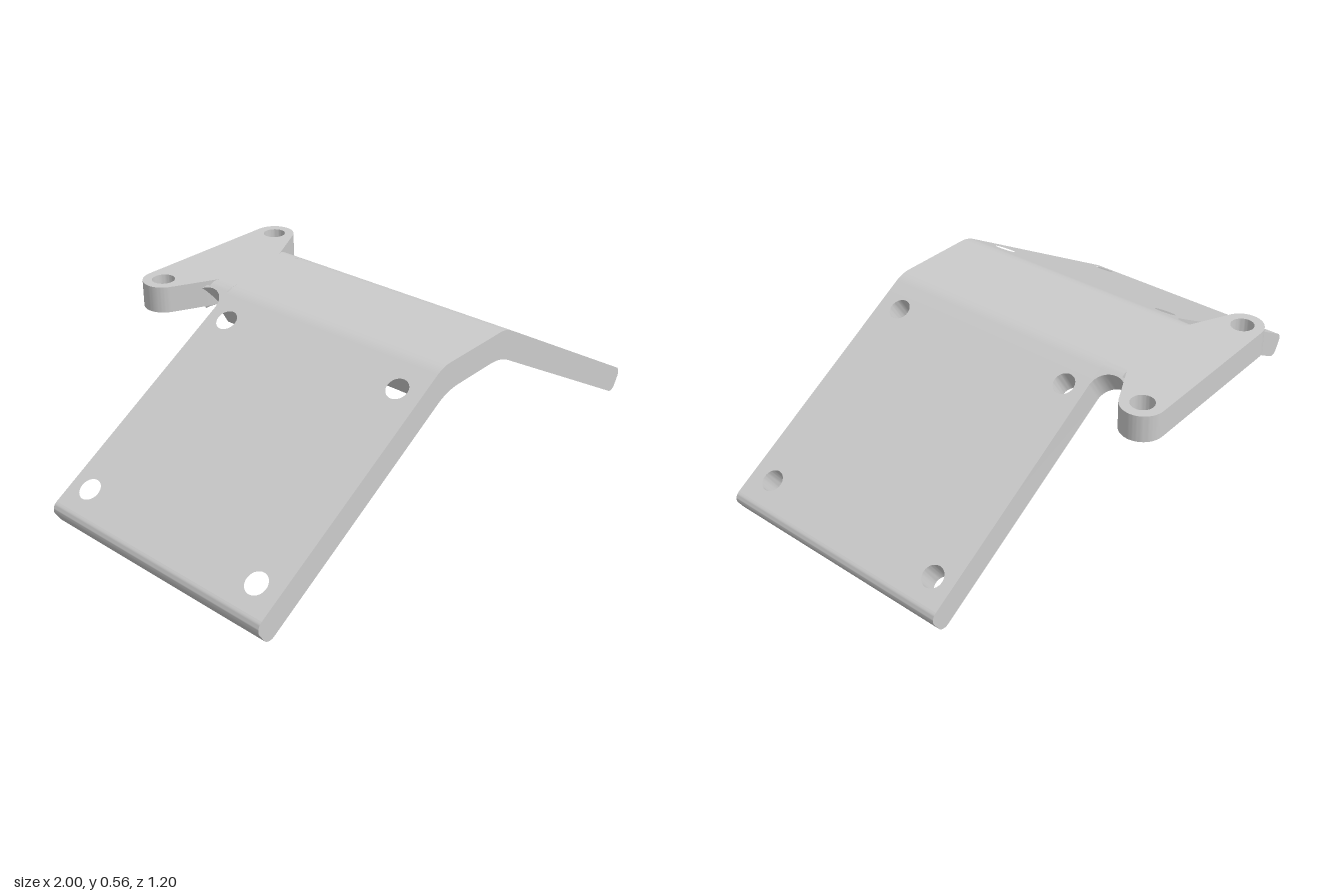
import * as THREE from 'three';
import { toCreasedNormals } from 'three/addons/utils/BufferGeometryUtils.js';

const T = 0.095;              // plate thickness
const TOP = 0.56;             // height of the flat top
const BEND_X = 0.171;         // where the wings fold down
const TILT = Math.PI / 6;     // wing slope
const LEN = 0.971;            // wing length along the slope
const R = 0.03;               // rounding of the wing tips
const BACK = -0.3, FRONT = 0.6;
const INNER = 0.028;          // end of the bend at the neck
const OUTER = 0.085;          // end of the bend along the wings

const material = new THREE.MeshStandardMaterial({ color: 0xcccccc });

// points on an arc, angles in degrees
function arc(cx, cy, r, from, to, n = 24) {
  return Array.from({ length: n + 1 }, (_, i) => {
    const a = THREE.MathUtils.degToRad(from + (to - from) * i / n);
    return [cx + r * Math.cos(a), cy + r * Math.sin(a)];
  });
}

// extrude an outline (optionally mirrored in x) with round holes
function extrude(points, depth, holes = [], side = 1) {
  const vec = list => list.map(([x, y]) => new THREE.Vector2(side * x, y));
  const shape = new THREE.Shape(vec(points));
  for (const [x, y, r] of holes) shape.holes.push(new THREE.Path(vec(arc(x, y, r, 0, 352.5, 47))));
  return new THREE.ExtrudeGeometry(shape, { depth, bevelEnabled: false });
}

function part(name, geometry) {
  const mesh = new THREE.Mesh(toCreasedNormals(geometry, 0.5), material);
  mesh.name = name;
  return mesh;
}

// wing coordinates (u along the slope, v out of its top) to front-view x, y
function onWing(u, v) {
  const c = Math.cos(TILT), s = Math.sin(TILT);
  return [BEND_X + u * c + v * s, TOP - u * s + v * c];
}

// place a wing piece at the fold
function foldDown(geometry, side) {
  return geometry.rotateZ(-side * TILT).translate(side * BEND_X, TOP, 0);
}

// quadratic rounding of a corner
function fillet(a, corner, b, n = 10) {
  const v = p => new THREE.Vector2(...p);
  return new THREE.QuadraticBezierCurve(v(a), v(corner), v(b)).getPoints(n).map(p => [p.x, p.y]);
}

// bent middle strip reaching distance u down both wings
function bentStrip(u, z0, z1) {
  const a = Math.min(0.035, u * 0.95);
  const inset = T * Math.tan(TILT / 2);
  const b = (u - inset) * 0.95;
  const bottomX = BEND_X - inset;
  const half = [
    ...fillet([BEND_X - a, TOP], [BEND_X, TOP], onWing(a, 0)),
    onWing(u, 0), onWing(u, -T),
    ...fillet(onWing(inset + b, -T), [bottomX, TOP - T], [bottomX - b, TOP - T]),
  ];
  const other = half.map(([x, y]) => [-x, y]).reverse();
  return extrude([...half, ...other], z1 - z0).translate(0, 0, z0);
}

// flat wing panel with four screw holes and the round relief beside the neck
function wingPanel(side) {
  const end = LEN - R;
  const outline = [
    [end, -FRONT], [end, -BACK],
    ...arc(0.098, 0.365, 0.065, -90, -243),
    [INNER, 0.41], [INNER, -BACK], [OUTER, -BACK], [OUTER, -FRONT],
  ];
  const holes = [];
  for (const u of [0.127, 0.855]) for (const y of [-0.51, 0.22]) holes.push([u, y, 0.038]);
  const g = extrude(outline, T, holes, side).rotateX(-Math.PI / 2).translate(0, -T, 0);
  return foldDown(g, side);
}

// rounded strip closing the outer end of a wing
function wingTip(side) {
  const outline = [
    [LEN - R, 0], [LEN - R, -T],
    ...arc(LEN - R, -T + R, R, -90, 0, 10).slice(1),
    ...arc(LEN - R, -R, R, 0, 90, 10).slice(0, -1),
  ];
  return foldDown(extrude(outline, FRONT - BACK, [], side).translate(0, 0, BACK), side);
}

// flat mounting lug with two rounded, drilled ears
function mountingLug() {
  const half = [[0.15, 0.375], [0.2, 0.4], ...arc(0.28, 0.525, 0.075, -63.2, 90, 32)];
  const other = half.map(([x, y]) => [-x, y]).reverse();
  const holes = [[0.283, 0.525, 0.04], [-0.283, 0.525, 0.04]];
  return extrude([...half, ...other], T, holes).rotateX(-Math.PI / 2).translate(0, TOP - T, 0);
}

export function createModel() {
  const model = new THREE.Group();
  model.name = 'bentBracket';
  model.add(part('middleStrip', bentStrip(OUTER, BACK, FRONT)));
  model.add(part('neck', bentStrip(INNER, -0.385, BACK)));
  model.add(part('mountingLug', mountingLug()));
  for (const [side, label] of [[1, 'left'], [-1, 'right']]) {
    model.add(part(label + 'Wing', wingPanel(side)));
    model.add(part(label + 'WingTip', wingTip(side)));
  }
  return model;
}
